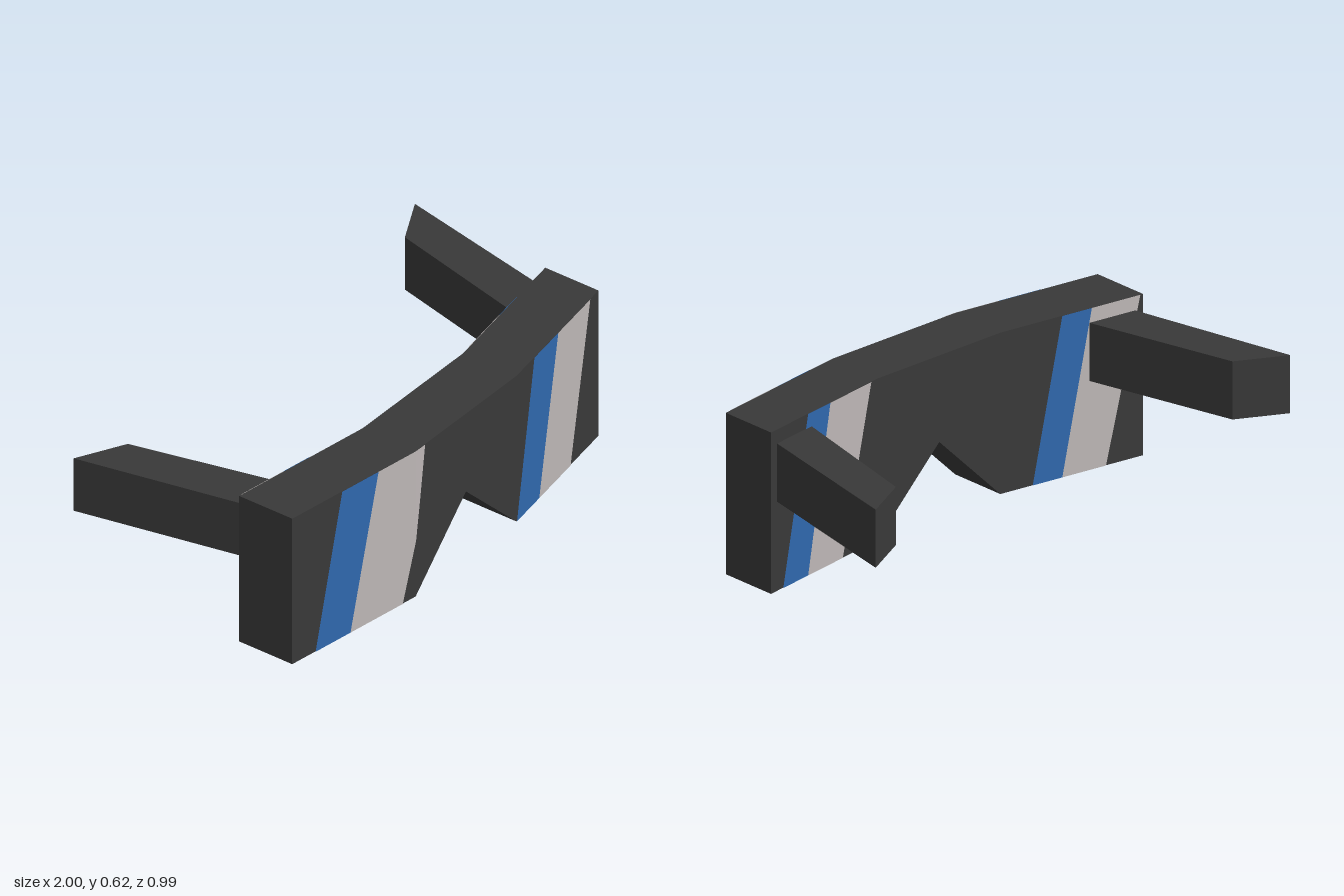
import * as THREE from 'three';

const TOP = 0.625, FOLD = 0.295, HALF = 0.897, THICK = 0.236, FRONT = 0.493;

// Depth of the visor's front: flat in the middle, swept back beyond the folds
const frontZ = x => FRONT - Math.max(0, Math.abs(x) - FOLD) * 0.153;

// Visor body: a four-cornered section swept across x, with a nose notch
function visorGeometry() {
  const columns = [[-HALF, 0], [-FOLD, 0], [0, 0.29], [FOLD, 0], [HALF, 0]];
  const rings = columns.map(([x, y]) => {
    const f = frontZ(x), b = f - THICK;
    return [[x, y, f], [x, TOP, f], [x, TOP, b], [x, y, b]];
  });
  const pos = [];
  const quad = (a, b, c, d) => pos.push(...a, ...b, ...c, ...a, ...c, ...d);
  for (let i = 0; i < rings.length - 1; i++) {
    for (let k = 0; k < 4; k++) {
      const n = (k + 1) % 4;
      quad(rings[i][k], rings[i + 1][k], rings[i + 1][n], rings[i][n]);
    }
  }
  const l = rings[0], r = rings[rings.length - 1];
  quad(l[0], l[1], l[2], l[3]);
  quad(r[3], r[2], r[1], r[0]);
  const geo = new THREE.BufferGeometry();
  geo.setAttribute('position', new THREE.Float32BufferAttribute(pos, 3));
  geo.computeVertexNormals();
  return geo;
}

const toShape = pts => new THREE.Shape(pts.map(([x, y]) => new THREE.Vector2(x, y)));

// Painted stripe: a flat outline laid just off the front or back face
function stripeGeometry(outline, back) {
  const geo = new THREE.ShapeGeometry(toShape(outline));
  const p = geo.attributes.position;
  for (let i = 0; i < p.count; i++) {
    const z = frontZ(p.getX(i));
    p.setZ(i, back ? z - THICK - 0.002 : z + 0.002);
  }
  geo.computeVertexNormals();
  return geo;
}

// Slanted band between two edges, each given as [x at bottom, x at top]
const band = (a, b) => [[a[0], 0], [b[0], 0], [b[1], TOP], [a[1], TOP]];

export function createModel() {
  const group = new THREE.Group();
  const dark = new THREE.MeshStandardMaterial({ color: 0x393939 });
  dark.name = 'charcoal';
  const blue = new THREE.MeshStandardMaterial({ color: 0x2f68ad, side: THREE.DoubleSide });
  blue.name = 'blue';
  const grey = new THREE.MeshStandardMaterial({ color: 0xbdb7b6, side: THREE.DoubleSide });
  grey.name = 'warm grey';

  const add = (name, geo, mat) => {
    const mesh = new THREE.Mesh(geo, mat);
    mesh.name = name;
    group.add(mesh);
  };

  add('visor', visorGeometry(), dark);

  // Stripes; the one that crosses a fold is split along it
  const stripes = [
    ['frontLeftBlueStripe', blue, false, band([0.297, 0.425], [0.46, 0.6])],
    ['frontLeftGreyStripe', grey, false, band([0.46, 0.6], [0.69, 0.835])],
    ['frontRightBlueStripe', blue, false, band([-0.785, -0.655], [-0.615, -0.478])],
    ['frontRightGreyStripe', grey, false,
      [[-0.615, 0], [-0.36, 0], [-FOLD, 0.24], [-FOLD, TOP], [-0.478, TOP]]],
    ['frontRightGreyStripeInner', grey, false,
      [[-FOLD, 0.24], [-0.272, 0.4], [-0.242, TOP], [-FOLD, TOP]]],
    ['backLeftBlueStripe', blue, true, band([0.69, 0.565], [0.83, 0.69])],
    ['backLeftGreyStripe', grey, true, band([0.495, 0.335], [0.69, 0.565])],
    ['backRightBlueStripe', blue, true, band([-0.555, -0.68], [-0.43, -0.555])],
    ['backRightGreyStripe', grey, true, band([-0.74, -0.885], [-0.555, -0.68])],
  ];
  for (const [name, mat, back, outline] of stripes) add(name, stripeGeometry(outline, back), mat);

  // Temple arms: plan outline (x, -z) raised to a constant height
  for (const [name, s] of [['leftArm', 1], ['rightArm', -1]]) {
    const plan = [[1, 0.493], [0.812, 0.395], [0.662, -0.23], [0.85, -0.23]];
    const geo = new THREE.ExtrudeGeometry(toShape(plan.map(([x, y]) => [s * x, y])),
      { depth: 0.225, bevelEnabled: false });
    geo.rotateX(-Math.PI / 2);
    geo.translate(0, 0.345, 0);
    add(name, geo, dark);
  }
  return group;
}
